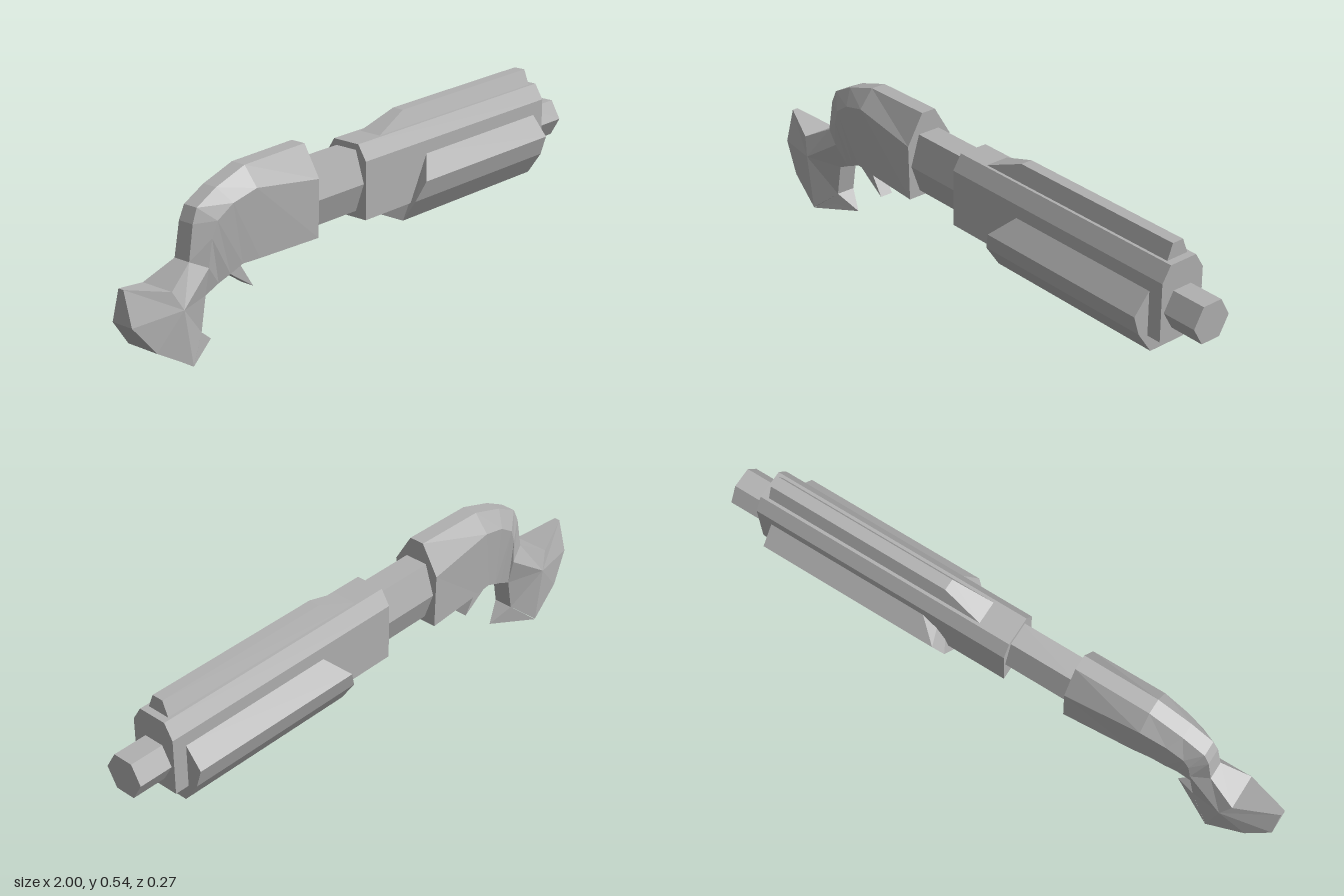
import * as THREE from 'three';

const metal = new THREE.MeshStandardMaterial({ color: 0xb0b0b0 });
metal.name = 'grey metal';

// Flat-shaded geometry from a list of triangles (each corner is [x, y, z])
function facets(tris) {
  const g = new THREE.BufferGeometry();
  g.setAttribute('position', new THREE.Float32BufferAttribute(tris.flat(2), 3));
  g.computeVertexNormals();
  return g;
}

const flip = ([x, y, z]) => [x, y, -z];

// Mirrors each half section (top to bottom on +z) and skins the rings from low x to high x
function loft(halves) {
  const rings = halves.map(h => [...h, ...h.map(flip).reverse()]);
  const tris = [];
  const n = rings[0].length;
  for (let k = 0; k + 1 < rings.length; k++) {
    for (let i = 0; i < n; i++) {
      const j = (i + 1) % n;
      const a = rings[k][i], b = rings[k][j], c = rings[k + 1][j], d = rings[k + 1][i];
      tris.push([a, b, c], [a, c, d]);
    }
  }
  const first = rings[0], last = rings[rings.length - 1];
  for (let i = 1; i + 1 < n; i++) {
    tris.push([first[0], first[i + 1], first[i]], [last[0], last[i], last[i + 1]]);
  }
  return facets(tris);
}

// Straight bar along x from a half profile of [z, y]
const bar = (x0, x1, profile) =>
  loft([x0, x1].map(x => profile.map(([z, y]) => [x, y, z])));

// Mirrored faceted form: a rim of [x, y, half width] fanned to a hub on both sides
function faceted(hub, rim) {
  const tris = [];
  rim.forEach((p, i) => {
    const r = rim[(i + 1) % rim.length];
    const q = flip(p), s = flip(r);
    tris.push([hub, p, r], [flip(hub), s, q], [p, q, s], [p, s, r]);
  });
  return facets(tris);
}

export function createModel() {
  const model = new THREE.Group();
  const add = (name, geometry) => {
    const m = new THREE.Mesh(geometry, metal);
    m.name = name;
    model.add(m);
    return m;
  };

  // Six-sided muzzle and the collar joining barrel to receiver
  add('muzzle', bar(0.86, 1, [[0.035, 0.402], [0.07, 0.341], [0.035, 0.28]]));
  add('collar', bar(-0.28, -0.02, [[0.04, 0.47], [0.073, 0.365], [0.04, 0.27]]));

  // Barrel housing with chamfered top
  add('barrelHousing', bar(-0.04, 0.88, [[0.05, 0.49], [0.081, 0.44], [0.081, 0.248]]));

  // Sight rib, sloped at the rear
  add('sightRib', loft([
    [[0.21, 0.54, 0.02], [0.06, 0.485, 0.042]],
    [[0.855, 0.54, 0.02], [0.855, 0.485, 0.042]],
  ]));

  // Pump grip wrapped under the barrel, raked at the rear
  add('pumpGrip', loft([
    [[0.26, 0.398, 0.079], [0.19, 0.33, 0.137], [0.16, 0.265, 0.117], [0.16, 0.19, 0.066]],
    [[0.83, 0.398, 0.079], [0.83, 0.33, 0.137], [0.83, 0.265, 0.117], [0.83, 0.19, 0.066]],
  ]));

  // Receiver, curving down into the neck of the grip
  add('receiver', loft([
    [[-0.76, 0.30, 0.03], [-0.70, 0.27, 0.05], [-0.70, 0.18, 0.033]],
    [[-0.74, 0.41, 0.028], [-0.69, 0.36, 0.056], [-0.65, 0.205, 0.038]],
    [[-0.72, 0.455, 0.026], [-0.67, 0.41, 0.06], [-0.61, 0.225, 0.048]],
    [[-0.64, 0.497, 0.026], [-0.61, 0.45, 0.066], [-0.565, 0.247, 0.056]],
    [[-0.52, 0.536, 0.026], [-0.52, 0.475, 0.075], [-0.50, 0.248, 0.064]],
    [[-0.26, 0.541, 0.026], [-0.26, 0.44, 0.085], [-0.26, 0.25, 0.081]],
  ]));

  // Faceted grip knob with a pointed spur at the front
  add('gripKnob', faceted([-0.83, 0.185, 0.078], [
    [-0.76, 0.30, 0.03], [-0.86, 0.245, 0.06], [-1, 0.28, 0.01], [-1, 0.17, 0.04],
    [-0.925, 0.075, 0.06], [-0.80, 0.002, 0.079], [-0.72, 0.07, 0.033],
    [-0.70, 0.18, 0.033], [-0.70, 0.27, 0.05],
  ]));
  add('gripSpur', faceted([-0.723, 0.031, 0.037], [
    [-0.80, 0, 0.079], [-0.65, 0.02, 0], [-0.72, 0.07, 0.033],
  ]));

  // Trigger wedge
  add('trigger', faceted([-0.56, 0.21, 0.023], [
    [-0.62, 0.235, 0.023], [-0.49, 0.147, 0.023], [-0.56, 0.255, 0.023],
  ]));

  return model;
}
